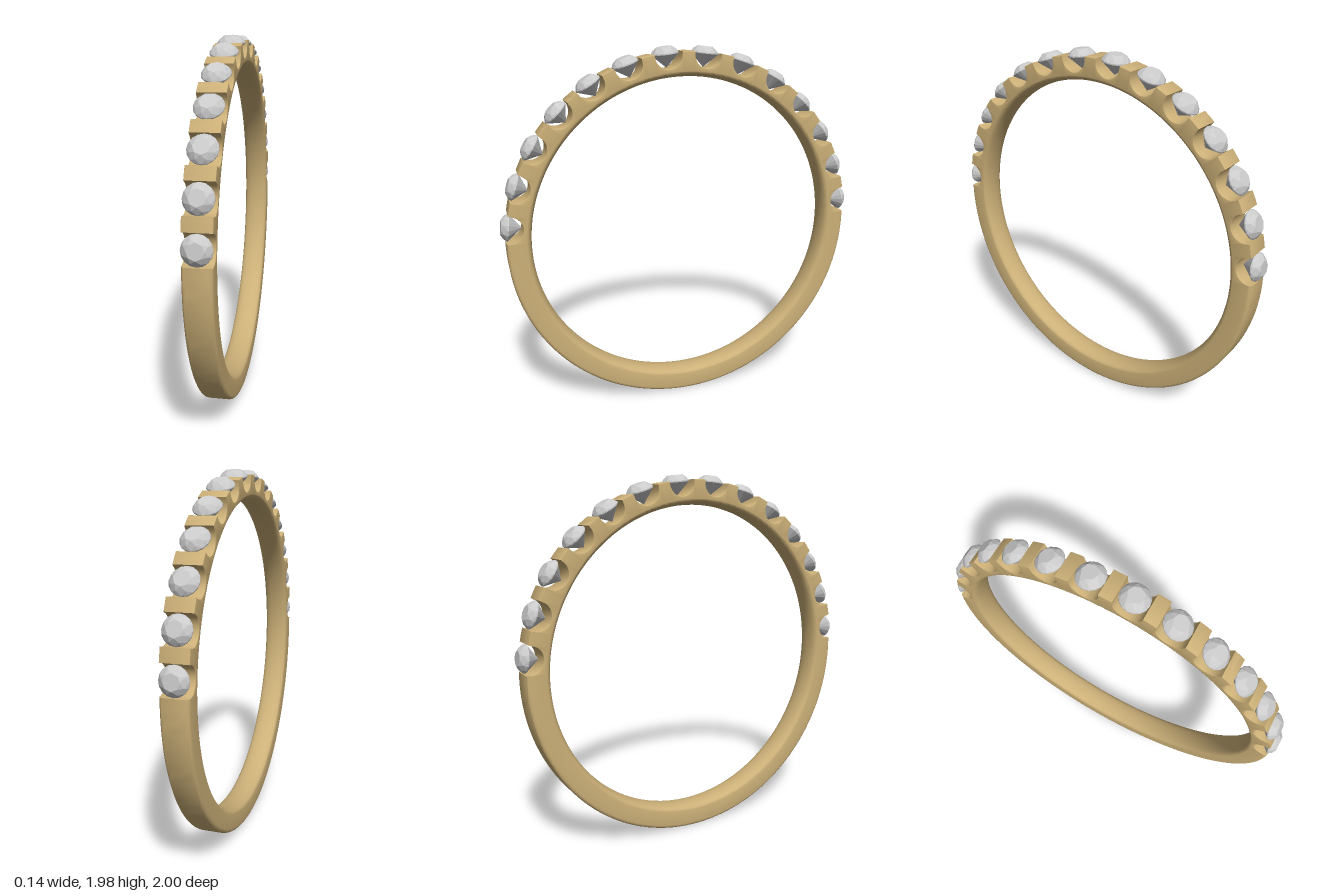
import * as THREE from 'three';
import { toCreasedNormals } from 'three/addons/utils/BufferGeometryUtils.js';
import { ConvexGeometry } from 'three/addons/geometries/ConvexGeometry.js';

const CENTRE_Y = 0.98, OUTER = 0.975, INNER = 0.845, HALF_WIDTH = 0.07;
const STONES = 14, STEP = THREE.MathUtils.degToRad(12.83);
const SEAT_R = 0.965, SEAT_RADIUS = 0.074, STONE_R = 0.967;

const stoneAngle = (i) => (i - (STONES - 1) / 2) * STEP;

// Closed cross-section as [x, radius], clockwise from the outer left corner
function section(outer, corner) {
  const pts = [];
  for (const side of [-1, 1]) {
    for (let k = 0; k <= 4; k++) {
      const t = (side < 0 ? k : 4 - k) / 4 * Math.PI / 2;
      pts.push([side * (HALF_WIDTH - corner + corner * Math.cos(t)),
        outer - corner + corner * Math.sin(t)]);
    }
  }
  // domed comfort-fit inside
  const dome = 0.03;
  for (let k = 0; k <= 14; k++) {
    const t = k / 14 * Math.PI;
    pts.push([HALF_WIDTH * Math.cos(t), INNER + dome - dome * Math.sin(t)]);
  }
  return pts;
}

// Stations round the ring: [angle from the top, outer radius, corner radius]
function stations() {
  const list = [], soft = 0.02, crisp = 0.003;
  const half = Math.atan2(SEAT_RADIUS, SEAT_R) + 0.0005;
  for (let i = 0; i < STONES; i++) {
    const a = stoneAngle(i);
    // round seat cut across the band
    list.push([a - half, OUTER, i === 0 ? soft : crisp]);
    for (let k = 0; k <= 12; k++) {
      const t = (k / 12 - 0.5) * Math.PI;
      const s = SEAT_RADIUS * Math.sin(t), r = SEAT_R - SEAT_RADIUS * Math.cos(t);
      list.push([a + Math.atan2(s, r), Math.hypot(s, r), crisp]);
    }
    // bridge up to the next seat
    if (i < STONES - 1) {
      for (let k = 0; k < 3; k++) {
        list.push([a + half + (STEP - 2 * half) * k / 3, OUTER, crisp]);
      }
    }
  }
  // plain lower half
  const start = stoneAngle(STONES - 1) + half;
  const end = stoneAngle(0) - half + Math.PI * 2;
  for (let k = 0; k < 72; k++) list.push([start + (end - start) * k / 72, OUTER, soft]);
  return list;
}

function bandGeometry() {
  const rows = stations(), pos = [], index = [];
  const n = section(OUTER, 0.02).length;
  rows.forEach(([a, outer, corner], i) => {
    for (const [x, r] of section(outer, corner)) {
      pos.push(x, CENTRE_Y + r * Math.cos(a), r * Math.sin(a));
    }
    const next = (i + 1) % rows.length;
    for (let j = 0; j < n; j++) {
      const k = (j + 1) % n;
      const p = i * n + j, q = i * n + k, s = next * n + j, t = next * n + k;
      index.push(p, s, q, q, s, t);
    }
  });
  const geo = new THREE.BufferGeometry();
  geo.setAttribute('position', new THREE.Float32BufferAttribute(pos, 3));
  geo.setIndex(index);
  return toCreasedNormals(geo, 0.6);
}

// Round brilliant cut: table, crown, girdle and pointed pavilion
function stoneGeometry() {
  const pts = [new THREE.Vector3(0, -0.072, 0)];
  const ring = (count, radius, y, turn) => {
    for (let k = 0; k < count; k++) {
      const t = (k + turn) / count * Math.PI * 2;
      pts.push(new THREE.Vector3(radius * Math.cos(t), y, radius * Math.sin(t)));
    }
  };
  ring(8, 0.04, 0.035, 0);
  ring(8, 0.06, 0.02, 0.5);
  ring(16, 0.072, 0.003, 0);
  ring(16, 0.072, -0.003, 0);
  return new ConvexGeometry(pts);
}

export function createModel() {
  const model = new THREE.Group();
  model.name = 'ring';

  const band = new THREE.Mesh(bandGeometry(), new THREE.MeshStandardMaterial({ color: 0xccb078 }));
  band.name = 'band';
  model.add(band);

  const stones = new THREE.Group();
  stones.name = 'stones';
  const geo = stoneGeometry();
  const mat = new THREE.MeshStandardMaterial({ color: 0xcccccc, flatShading: true });
  for (let i = 0; i < STONES; i++) {
    const a = stoneAngle(i);
    const stone = new THREE.Mesh(geo, mat);
    stone.name = `stone${i + 1}`;
    stone.position.set(0, CENTRE_Y + STONE_R * Math.cos(a), STONE_R * Math.sin(a));
    stone.rotation.x = a;
    stones.add(stone);
  }
  model.add(stones);
  return model;
}
